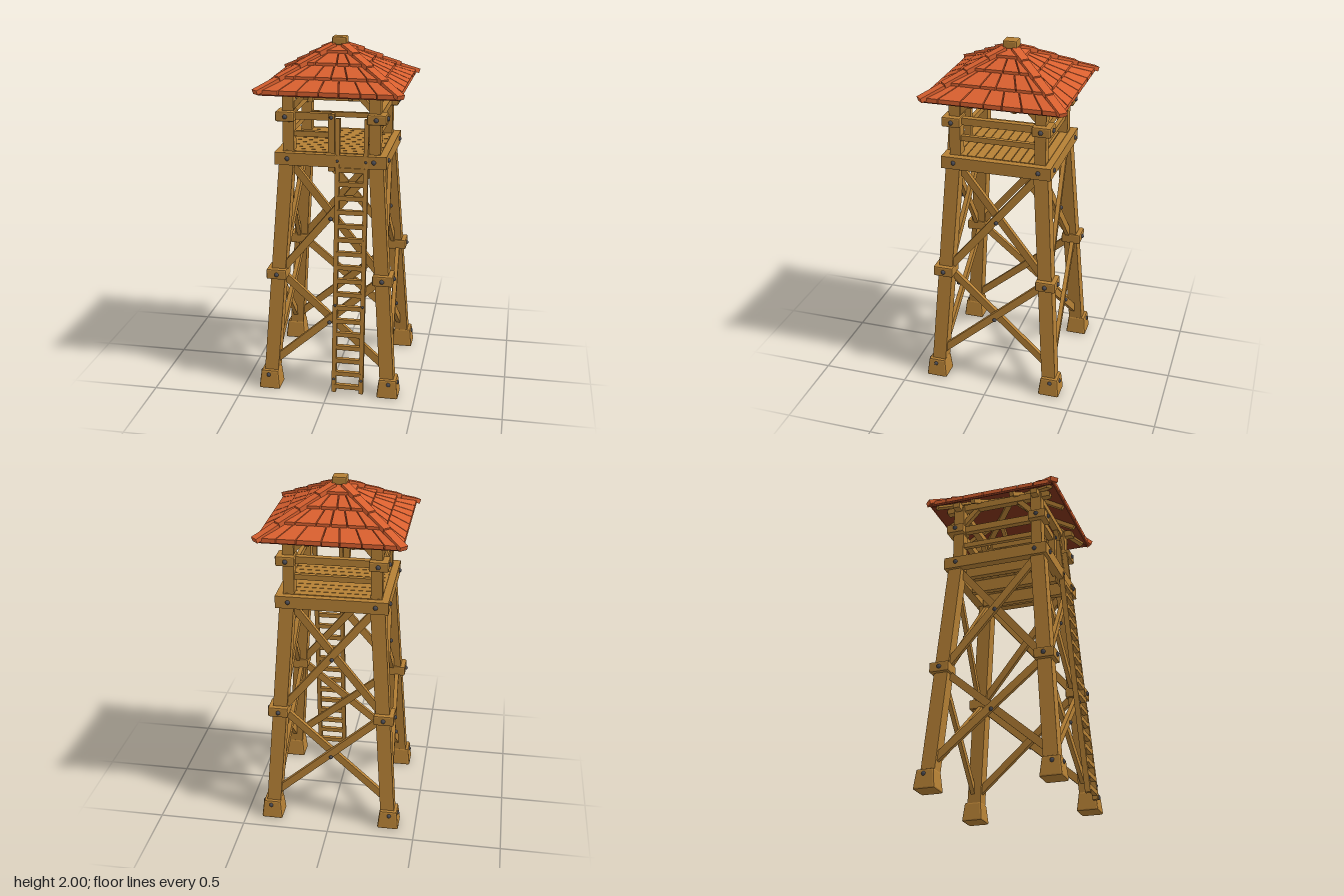
import * as THREE from 'three';
import { RoundedBoxGeometry } from 'three/addons/geometries/RoundedBoxGeometry.js';

const material = (name, color) => Object.assign(new THREE.MeshStandardMaterial({ color }), { name });

export function createModel() {
  const wood = material('wood', 0xb58035);
  const tile = material('roof tile', 0xd9602f);
  const lining = material('roof lining', 0x7d3219);
  const iron = material('iron', 0x4b4b52);

  const root = new THREE.Group();
  root.name = 'watchtower';
  const tower = new THREE.Group();
  tower.name = 'tower';
  tower.position.z = -0.0155;
  root.add(tower);

  const add = (parent, name, geo, mat, x = 0, y = 0, z = 0) => {
    const m = new THREE.Mesh(geo, mat);
    m.name = name;
    m.position.set(x, y, z);
    parent.add(m);
    return m;
  };
  const box = (parent, name, w, h, d, x, y, z, mat = wood) =>
    add(parent, name, new THREE.BoxGeometry(w, h, d), mat, x, y, z);
  // Box with chamfered edges
  const chamfer = (w, h, d, r = 0.008) => {
    const g = new RoundedBoxGeometry(w, h, d, 1, r);
    g.computeVertexNormals();
    return g;
  };
  // Moves every vertex by a rule, keeping faces flat
  const warp = (geo, rule) => {
    const p = geo.attributes.position;
    for (let i = 0; i < p.count; i++) p.setXYZ(i, ...rule(p.getX(i), p.getY(i), p.getZ(i)));
    geo.computeVertexNormals();
    return geo;
  };
  // Straight timber between two points
  const strut = (parent, name, a, b, thick, wide, mat = wood) => {
    const A = new THREE.Vector3(...a), B = new THREE.Vector3(...b);
    const m = new THREE.Mesh(new THREE.BoxGeometry(thick, wide, A.distanceTo(B)), mat);
    m.name = name;
    m.position.copy(A).lerp(B, 0.5);
    m.lookAt(B);
    parent.add(m);
    return m;
  };
  // Domed bolt head facing +z or +x
  const boltGeo = new THREE.SphereGeometry(0.013, 8, 6);
  const bolt = (parent, x, y, z, s = 1) =>
    add(parent, 'bolt', boltGeo, iron, x, y, z).scale.setScalar(s);

  const legAt = y => 0.344 - y * 0.07; // leg centre distance at a height

  // Corners: foot, leaning leg, collars and upper post
  for (let k = 0; k < 4; k++) {
    const c = new THREE.Group();
    c.name = 'corner' + k;
    c.rotation.y = k * Math.PI / 2;
    tower.add(c);
    const f = legAt(0);
    add(c, 'foot', warp(chamfer(0.125, 0.112, 0.125, 0.01), (x, y, z) => {
      const s = 0.9 - y * 1.8;
      return [x * s, y, z * s];
    }), wood, f, 0.056, f);
    add(c, 'leg', warp(new THREE.BoxGeometry(0.08, 1.27, 0.08), (x, y, z) => {
      const h = y + 0.725;
      return [x + legAt(h), h, z + legAt(h)];
    }), wood);
    add(c, 'legCollar', chamfer(0.115, 0.06, 0.115), wood, 0.302, 0.7, 0.302);
    add(c, 'railCollar', chamfer(0.105, 0.056, 0.105), wood, 0.252, 1.602, 0.252);
    box(c, 'upperPost', 0.062, 0.42, 0.062, 0.24, 1.55, 0.24);
    for (const [at, y, out] of [[0.35, 0.085, 0.394], [0.3, 0.7, 0.36], [0.24, 1.37, 0.31], [0.25, 1.602, 0.305]]) {
      bolt(c, at, y, out);
      bolt(c, out, y, at);
    }
    // Hip rafter and overlapping hip tiles
    strut(c, 'hipRafter', [0.03, 1.925, 0.03], [0.35, 1.74, 0.35], 0.035, 0.03);
    const edges = [0.03, 0.105, 0.197, 0.29, 0.39];
    for (let i = 0; i < 4; i++) {
      const [a, b] = [edges[i], edges[i + 1]];
      strut(c, 'hipTile', [a, 1.971 - 0.59 * a, a], [b, 1.979 - 0.59 * b, b], 0.048, 0.026, tile);
    }
  }

  // Roof slope: t runs along the eave from -1 to 1, r is distance from the axis
  const slope = r => 1.963 - 0.59 * r;
  const slab = (t0, t1, r0, r1, low, thin, thick) =>
    warp(new THREE.BoxGeometry(1, 1, 1), (x, y, z) => {
      const r = z < 0 ? r0 : r1;
      const t = x < 0 ? t0 + 0.003 / r : t1 - 0.003 / r;
      return [t * r, slope(r) + (y < 0 ? low : z < 0 ? thin : thick), r];
    });
  let seed = 7;
  const jitter = () => (seed = (seed * 16807) % 2147483647) / 2147483647 - 0.5;
  const courses = [[0.02, 0.09, 1], [0.08, 0.182, 4], [0.172, 0.283, 6], [0.273, 0.385, 7]];

  // Four sides: braces, beams, rails, roof
  for (let k = 0; k < 4; k++) {
    const s = new THREE.Group();
    s.name = ['front', 'left', 'back', 'right'][k] + 'Side';
    s.rotation.y = k * Math.PI / 2;
    tower.add(s);

    // Crossed braces with a bolt in the middle
    for (const [y0, y1, mid] of [[0.17, 0.68, 0.42], [0.72, 1.33, 1.03]]) {
      for (const d of [-1, 1]) {
        const a = legAt(y0), b = legAt(y1), off = d * 0.012;
        strut(s, 'crossBrace', [-d * (a - 0.02), y0, a + off], [d * (b - 0.02), y1, b + off], 0.024, 0.042);
      }
      bolt(s, 0, mid, legAt(mid) + 0.025, 0.9);
    }

    // Platform beam and roof plate
    const long = k % 2 === 0;
    box(s, 'platformBeam', long ? 0.62 : 0.52, 0.07, 0.05, 0, 1.368, 0.285);
    box(s, 'roofPlate', 0.64, 0.04, 0.04, 0, 1.752 + (long ? 0 : 0.004), 0.24);
    for (const d of [-1, 1])
      strut(s, 'kneeBrace', [d * 0.22, 1.645, 0.24], [d * 0.13, 1.74, 0.24], 0.03, 0.03);

    // Railing; the front one leaves room for the ladder
    const w = k === 0 ? 0.24 : 0.48, x = k === 0 ? -0.12 : 0;
    box(s, 'topRail', w, 0.04, 0.035, x, 1.602, 0.25);
    box(s, 'middleRail', w, 0.03, 0.025, x, 1.5, 0.245);
    if (k === 0) {
      box(s, 'gatePost', 0.036, 0.32, 0.04, 0, 1.46, 0.255);
      bolt(s, 0, 1.602, 0.276, 0.8);
    }

    // Roof lining and tile courses
    add(s, 'roofLining', slab(-1, 1, 0.02, 0.376, -0.012, 0.001, 0.001), lining);
    for (const [r0, r1, n] of courses) {
      const cuts = [-1];
      for (let i = 1; i < n; i++) cuts.push(-1 + (i + jitter() * 0.35) * 2 / n);
      cuts.push(1);
      for (let i = 0; i < n; i++)
        add(s, 'roofTile', slab(cuts[i], cuts[i + 1], r0, r1, 0, 0.007, 0.024), tile);
    }
    // Common rafters under the eaves
    for (const rx of [-0.12, 0.12])
      strut(s, 'rafter', [rx, slope(0.13) - 0.026, 0.13], [rx, slope(0.36) - 0.026, 0.36], 0.025, 0.025);
  }
  add(tower, 'roofCap', chamfer(0.08, 0.045, 0.08), wood, 0, 1.9775, 0);

  // Deck boards on joists
  for (let i = 0; i < 11; i++)
    box(tower, 'deckBoard', 0.54, 0.02, 0.046, 0, 1.397, (i - 5) * 0.05);
  for (const x of [-0.19, 0, 0.19]) box(tower, 'joist', 0.035, 0.075, 0.5, x, 1.349, 0);

  // Leaning ladder
  const ladder = new THREE.Group();
  ladder.name = 'ladder';
  root.add(ladder);
  const ladderZ = y => 0.403 - (y - 0.02) * 0.09;
  for (const x of [0.04, 0.197]) {
    strut(ladder, 'ladderRail', [x, 0.03, ladderZ(0.03)], [x, 1.6, ladderZ(1.6)], 0.024, 0.03);
    for (const y of [0.11, 0.55]) bolt(ladder, x, y, ladderZ(y) + 0.014, 0.6);
    bolt(ladder, x, 1.37, 0.296, 0.6);
  }
  for (let i = 0; i < 17; i++) {
    const y = 0.065 + i * 0.0785;
    box(ladder, 'rung', 0.15, 0.026, 0.024, 0.118, y, ladderZ(y) + 0.003);
  }
  return root;
}
